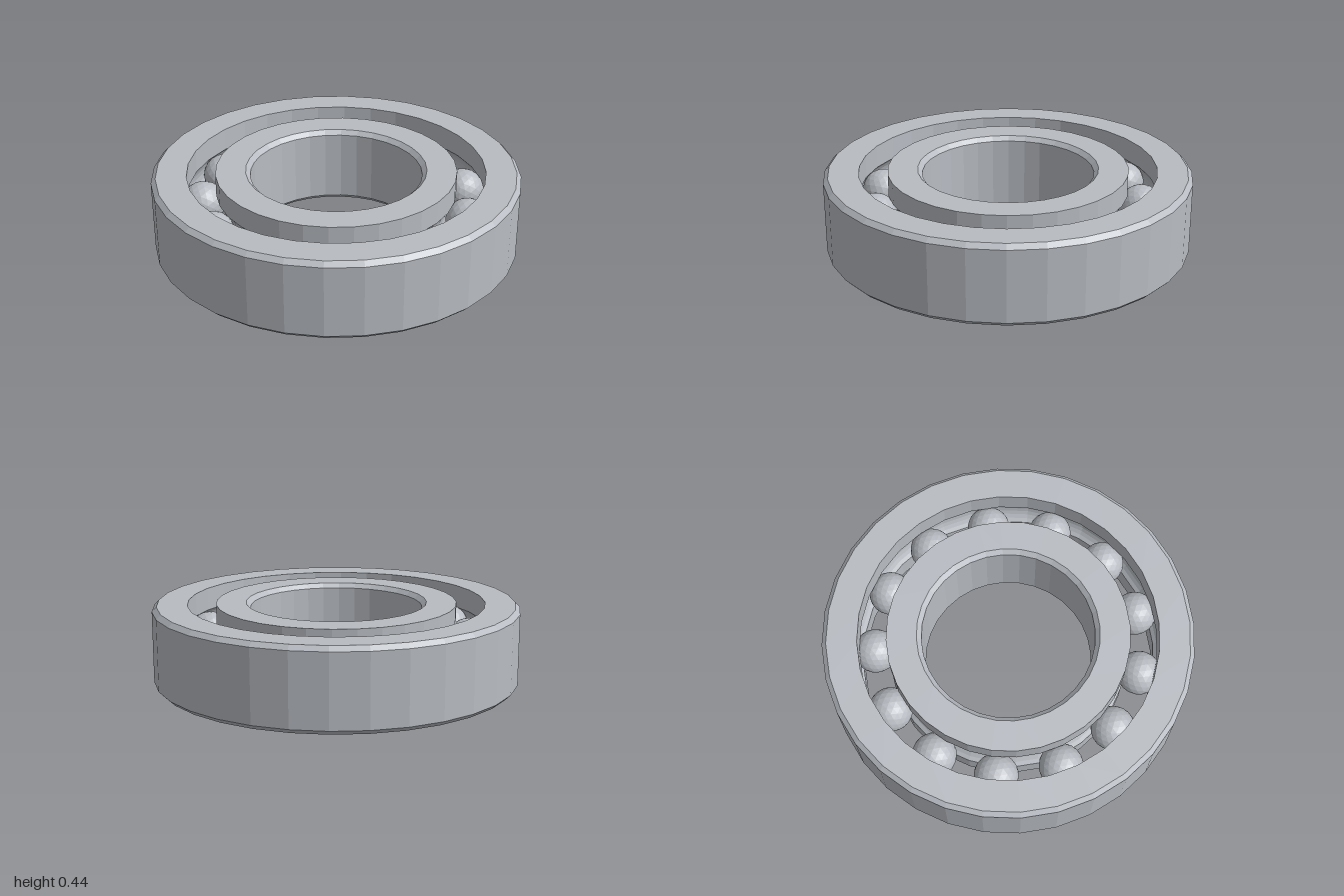
import * as THREE from 'three';

const H = 0.44, MID = H / 2, BEVEL = 0.025, SIDES = 32;
const BALLS = 13, BALL_R = 0.12, TRACK_R = 0.73, GROOVE_R = 0.123;

// Arc of the ball groove where it cuts a wall of radius wallR
function groove(wallR, upward) {
  const offset = wallR - TRACK_R;
  const half = Math.acos(Math.abs(offset) / GROOVE_R);
  const points = [];
  for (let i = 0; i <= 8; i++) {
    const a = (upward ? 1 : -1) * half * (i / 4 - 1);
    points.push([
      TRACK_R + Math.sign(offset) * GROOVE_R * Math.cos(a),
      MID + GROOVE_R * Math.sin(a),
    ]);
  }
  return points;
}

// Revolve a closed counter-clockwise profile of [radius, height] points
function ring(name, profile, material) {
  const points = [...profile, profile[0]].map(([r, y]) => new THREE.Vector2(r, y));
  const mesh = new THREE.Mesh(new THREE.LatheGeometry(points, SIDES), material);
  mesh.name = name;
  return mesh;
}

export function createModel() {
  const group = new THREE.Group();
  group.name = 'ballBearing';
  const steel = new THREE.MeshStandardMaterial({ color: 0xb8bcc2 });
  steel.name = 'steel';
  steel.flatShading = true;

  // Outer ring: bevelled outside, grooved inside
  const outerWall = 0.81;
  group.add(ring('outerRing', [
    [outerWall, 0], [1 - BEVEL, 0], [1, BEVEL],
    [1, H - BEVEL], [1 - BEVEL, H], [outerWall, H],
    ...groove(outerWall, false),
  ], steel));

  // Inner ring: grooved outside, bevelled bore
  const innerWall = 0.655, bore = 0.467;
  group.add(ring('innerRing', [
    [bore + BEVEL, 0], [innerWall, 0],
    ...groove(innerWall, true),
    [innerWall, H], [bore + BEVEL, H],
    [bore, H - BEVEL], [bore, BEVEL],
  ], steel));

  // Balls spaced evenly in the track
  const balls = new THREE.Group();
  balls.name = 'balls';
  const ballGeometry = new THREE.IcosahedronGeometry(BALL_R, 3);
  for (let i = 0; i < BALLS; i++) {
    const a = (i / BALLS) * Math.PI * 2;
    const ball = new THREE.Mesh(ballGeometry, steel);
    ball.name = 'ball';
    ball.position.set(TRACK_R * Math.cos(a), MID, TRACK_R * Math.sin(a));
    balls.add(ball);
  }
  group.add(balls);
  return group;
}
